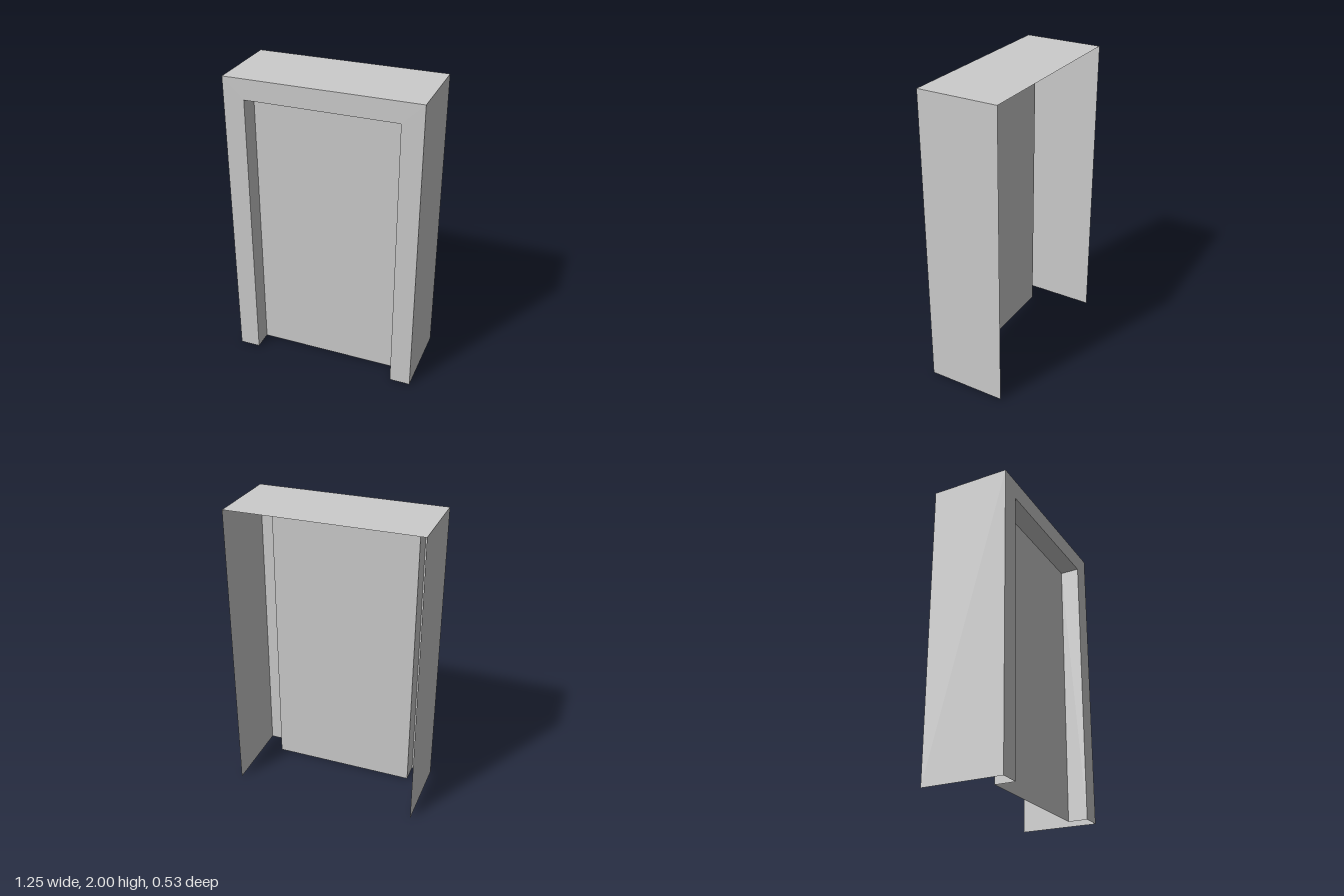
import * as THREE from 'three';

const W = 0.627, H = 2, D = 0.263;           // half width, height, half depth
const w = 0.49, h = 1.867, zDoor = 0.132;    // opening half width, height, recessed door plane

export function createModel() {
  const group = new THREE.Group();
  const material = new THREE.MeshStandardMaterial({
    color: 0xcccccc, flatShading: true, side: THREE.DoubleSide,
  });
  const add = (name, geometry) => {
    const mesh = new THREE.Mesh(geometry, material);
    mesh.name = name;
    group.add(mesh);
  };
  // Upright sheet facing sideways, running from z0 to z1
  const sideSheet = (x, height, z0, z1) =>
    new THREE.PlaneGeometry(z1 - z0, height)
      .rotateY(Math.sign(x) * Math.PI / 2)
      .translate(x, height / 2, (z0 + z1) / 2);
  // Level sheet facing up, running from z0 to z1
  const levelSheet = (halfWidth, y, z0, z1) =>
    new THREE.PlaneGeometry(halfWidth * 2, z1 - z0)
      .rotateX(-Math.PI / 2)
      .translate(0, y, (z0 + z1) / 2);

  // Front face: an upside-down U around the doorway
  const frame = new THREE.Shape([
    [-W, 0], [-w, 0], [-w, h], [w, h], [w, 0], [W, 0], [W, H], [-W, H],
  ].map(([x, y]) => new THREE.Vector2(x, y)));
  add('frontFrame', new THREE.ShapeGeometry(frame).translate(0, 0, D));

  // Outer walls and inner reveals, mirrored
  for (const [label, s] of [['left', 1], ['right', -1]]) {
    add(label + 'Wall', sideSheet(s * W, H, -D, D));
    add(label + 'Reveal', sideSheet(s * w, h, zDoor, D));
  }

  // Roof and underside of the lintel
  add('roof', levelSheet(W, H, -D, D));
  add('topReveal', levelSheet(w, h, zDoor, D));

  // Recessed door panel; the shell stays open at the back and bottom
  add('doorPanel', new THREE.PlaneGeometry(w * 2, h).translate(0, h / 2, zDoor));

  return group;
}
